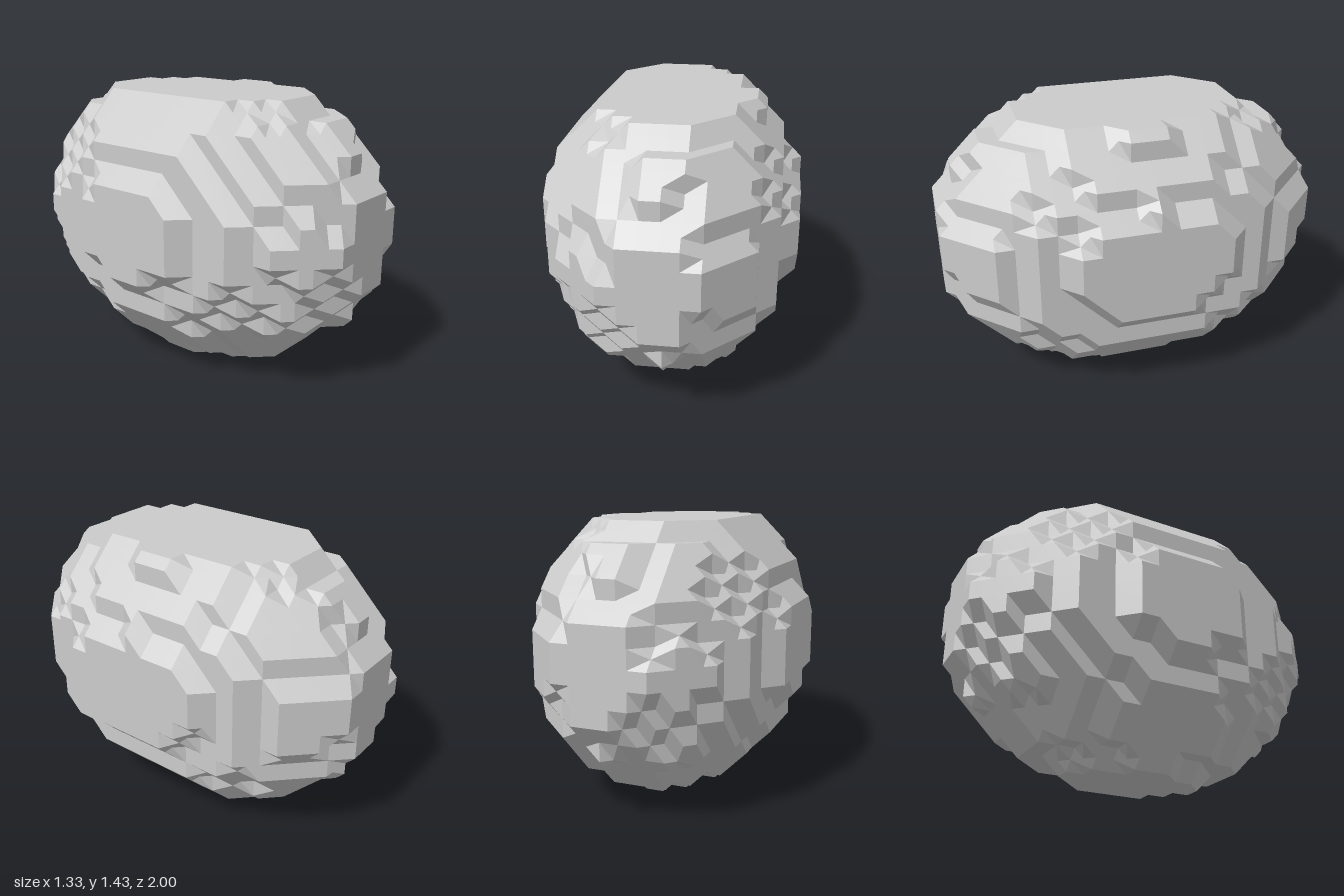
import * as THREE from 'three';

// Size of one lattice step
const STEP = 2 / 21;

// A slightly off-centre ellipsoid with its top sliced flat (lattice units)
function isSolid(x, y, z) {
  if (y > 15) return false;
  const dx = x - 0.1, dy = y - 8.12;
  return 0.02044 * dx * dx + 0.01442 * dy * dy + 0.00862 * z * z <= 1.0095;
}

// Faces of a lattice cell, corners counter-clockwise from outside;
// the bits of a corner number are its x, y and z offsets
const CELL_FACES = [
  [0, 2, 3, 1], [4, 5, 7, 6], [0, 4, 6, 2],
  [1, 3, 7, 5], [0, 1, 5, 4], [2, 6, 7, 3],
];
const offset = (c) => [c & 1, (c >> 1) & 1, (c >> 2) & 1];
const edgeKey = (a, b) => Math.min(a, b) * 8 + Math.max(a, b);

// Closed loops of cut edges where the surface passes through one cell
function cellLoops(inside) {
  const next = new Map();
  for (const face of CELL_FACES) {
    for (let i = 0; i < 4; i++) {
      const a = face[i], b = face[(i + 1) % 4];
      if (inside[a] || !inside[b]) continue;
      // entered the solid: walk on to where it is left again
      let j = i + 1;
      while (inside[face[(j + 1) % 4]]) j++;
      next.set(edgeKey(a, b), edgeKey(face[j % 4], face[(j + 1) % 4]));
    }
  }
  const loops = [];
  while (next.size) {
    const loop = [];
    let key = next.keys().next().value;
    while (next.has(key)) {
      loop.push(key);
      const following = next.get(key);
      next.delete(key);
      key = following;
    }
    loops.push(loop);
  }
  return loops;
}

// Faceted skin through the midpoints of all cut lattice edges
function facetedSkin() {
  const positions = [];
  for (let x = -8.5; x < 8; x++)
    for (let y = -1.5; y < 16; y++)
      for (let z = -12; z < 12; z++) {
        const inside = [];
        for (let c = 0; c < 8; c++) {
          const [ox, oy, oz] = offset(c);
          inside.push(isSolid(x + ox, y + oy, z + oz));
        }
        const midpoint = (key) => {
          const a = offset(key >> 3), b = offset(key & 7);
          return [x, y, z].map((v, k) => (v + (a[k] + b[k]) / 2) * STEP);
        };
        for (const loop of cellLoops(inside)) {
          const points = loop.map(midpoint);
          for (let i = 1; i + 1 < points.length; i++)
            positions.push(...points[0], ...points[i], ...points[i + 1]);
        }
      }
  const geometry = new THREE.BufferGeometry();
  geometry.setAttribute('position', new THREE.Float32BufferAttribute(positions, 3));
  geometry.computeVertexNormals();
  return geometry;
}

export function createModel() {
  const group = new THREE.Group();
  group.name = 'facetedBoulder';
  const material = new THREE.MeshStandardMaterial({ color: 0xcccccc, flatShading: true });
  const boulder = new THREE.Mesh(facetedSkin(), material);
  boulder.name = 'boulder';
  group.add(boulder);
  return group;
}
